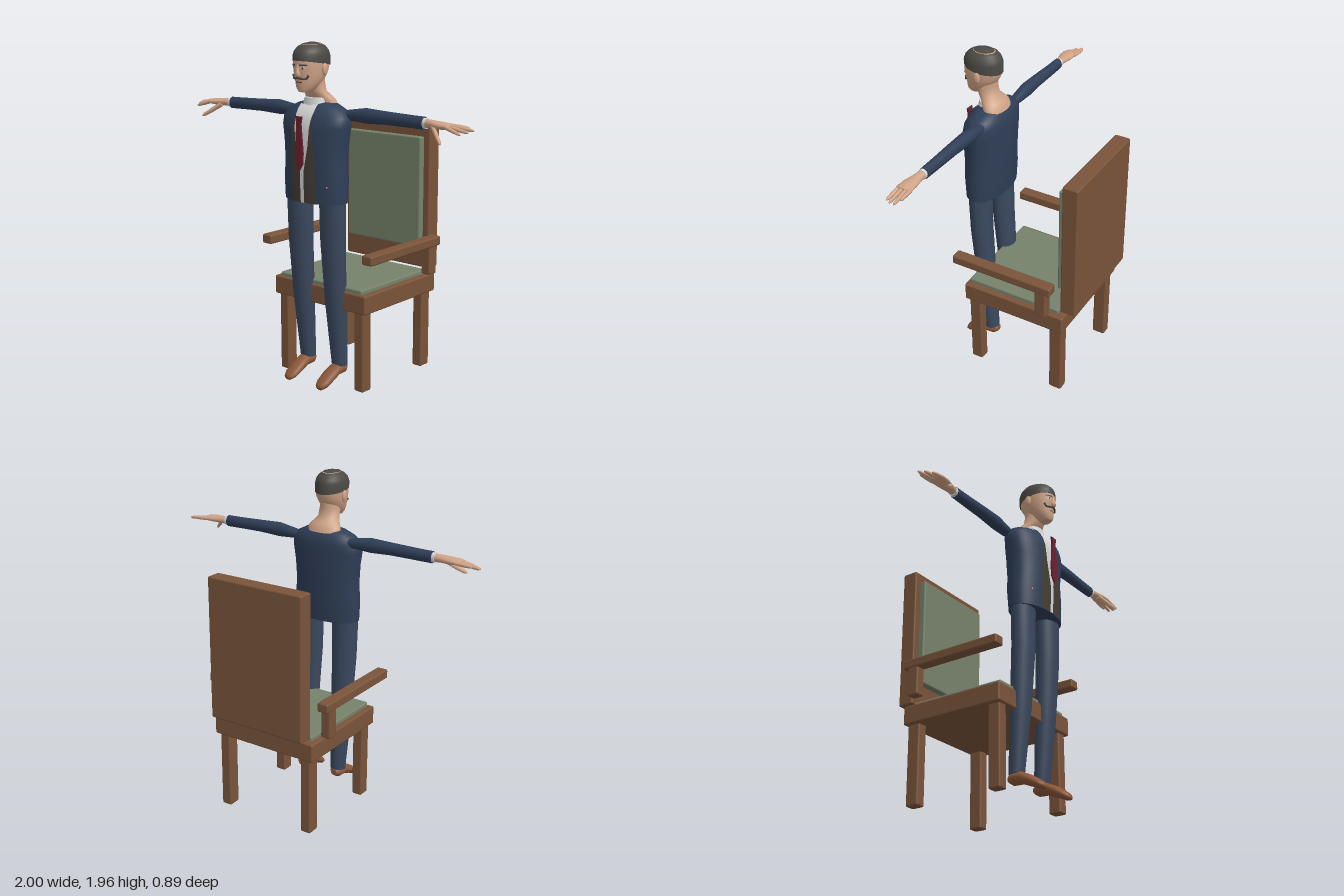
import * as THREE from 'three';
import { RoundedBoxGeometry } from 'three/addons/geometries/RoundedBoxGeometry.js';

const colours = {
  wood: 0x7a543a, upholstery: 0x76826a, jacket: 0x2f3e57, trousers: 0x3a485e, vest: 0x453e38,
  skin: 0xd0a487, shirt: 0xd8d8d6, tie: 0x6e2030, shoe: 0x8a5637, hair: 0x4b4944,
};

// Closed skin over elliptical sections [t, u, v, ru, rv] along an axis:
// y -> centre (u, t, v), x -> centre (t, u, v), z -> centre (u, v, t)
function loft(rows, axis = 'y', seg = 24, power = 2) {
  const pos = [], idx = [];
  const bend = (c) => Math.sign(c) * Math.pow(Math.abs(c), 2 / power);
  const put = (t, u, v, a, b) => {
    if (axis === 'y') pos.push(u + a, t, v + b);
    else if (axis === 'x') pos.push(t, u - a, v + b);
    else pos.push(u + a, v - b, t);
  };
  const ring = ([t, u, v, ru, rv]) => {
    const start = pos.length / 3;
    for (let j = 0; j < seg; j++) {
      const a = (j / seg) * Math.PI * 2;
      put(t, u, v, ru * bend(Math.cos(a)), rv * bend(Math.sin(a)));
    }
    return start;
  };
  const starts = rows.map(ring);
  for (let i = 0; i < rows.length - 1; i++) {
    for (let j = 0; j < seg; j++) {
      const k = (j + 1) % seg;
      const a = starts[i] + j, b = starts[i] + k, c = starts[i + 1] + j, d = starts[i + 1] + k;
      idx.push(a, c, b, b, c, d);
    }
  }
  [rows[0], rows[rows.length - 1]].forEach((r, end) => {
    const s = ring(r), m = pos.length / 3;
    put(r[0], r[1], r[2], 0, 0);
    for (let j = 0; j < seg; j++) {
      const a = s + j, b = s + ((j + 1) % seg);
      if (end) idx.push(m, b, a); else idx.push(m, a, b);
    }
  });
  return build(pos, idx);
}

function build(pos, idx) {
  const g = new THREE.BufferGeometry();
  g.setAttribute('position', new THREE.Float32BufferAttribute(pos, 3));
  g.setIndex(idx);
  g.computeVertexNormals();
  return g;
}

// Front surface depth of a lofted body at (x, y)
function frontZ(body, x, y, power) {
  let i = 0;
  while (i < body.length - 2 && body[i + 1][0] < y) i++;
  const f = THREE.MathUtils.clamp((y - body[i][0]) / (body[i + 1][0] - body[i][0]), 0, 1);
  const at = (k) => THREE.MathUtils.lerp(body[i][k], body[i + 1][k], f);
  const s = Math.min(1, Math.abs(x / at(3)));
  return at(2) + at(4) * Math.pow(1 - Math.pow(s, power), 1 / power);
}

// Thin panel hugging the front of a body; rows [y, xLeft, xRight] from bottom to top
function panel(body, rows, offset, side = 1, power = 2) {
  const pos = [], idx = [], cols = 8, steps = 5;
  const count = (rows.length - 1) * steps;
  for (let r = 0; r <= count; r++) {
    const i = Math.min(Math.floor(r / steps), rows.length - 2), f = r / steps - i;
    const [y, p, q] = rows[i].map((v, k) => THREE.MathUtils.lerp(v, rows[i + 1][k], f));
    const x0 = Math.min(p * side, q * side), x1 = Math.max(p * side, q * side);
    for (let j = 0; j <= cols; j++) {
      const x = x0 + ((x1 - x0) * j) / cols;
      pos.push(x, y, frontZ(body, x, y, power) + offset);
    }
  }
  for (let r = 0; r < count; r++) {
    for (let j = 0; j < cols; j++) {
      const a = r * (cols + 1) + j, b = a + cols + 1;
      idx.push(a, a + 1, b + 1, a, b + 1, b);
    }
  }
  return build(pos, idx);
}

// Mirror a geometry across x = 0, keeping its faces outward
function mirrored(g) {
  const m = g.clone().scale(-1, 1, 1), ix = m.index.array;
  for (let i = 0; i < ix.length; i += 3) [ix[i], ix[i + 1]] = [ix[i + 1], ix[i]];
  m.computeVertexNormals();
  return m;
}

export function createModel() {
  const model = new THREE.Group();
  const chair = new THREE.Group(), man = new THREE.Group();
  chair.name = 'chair';
  man.name = 'man';
  model.add(chair, man);
  const mats = {};
  for (const [name, color] of Object.entries(colours)) {
    mats[name] = new THREE.MeshStandardMaterial({ color });
    mats[name].name = name;
  }
  const add = (parent, name, mat, g) => {
    const m = new THREE.Mesh(g, mats[mat]);
    m.name = name;
    parent.add(m);
  };
  const pair = (name, mat, g) => {
    add(man, 'left' + name, mat, g);
    add(man, 'right' + name, mat, mirrored(g));
  };

  // Chair: rounded boxes given by their extents
  const box = (name, mat, x0, x1, y0, y1, z0, z1, r = 0.01) => add(chair, name, mat,
    new RoundedBoxGeometry(x1 - x0, y1 - y0, z1 - z0, 2, r)
      .translate((x0 + x1) / 2, (y0 + y1) / 2, (z0 + z1) / 2));
  box('seatFrame', 'wood', -0.345, 0.345, 0.465, 0.575, -0.38, 0.275);
  box('seatCushion', 'upholstery', -0.31, 0.31, 0.565, 0.6, -0.335, 0.26);
  box('backPanel', 'wood', -0.315, 0.315, 0.6, 1.45, -0.445, -0.35);
  box('backCushion', 'upholstery', -0.275, 0.275, 0.73, 1.39, -0.355, -0.31);
  for (const s of [-1, 1]) {
    const side = (name, a, b, ...rest) => box(name, 'wood', Math.min(a * s, b * s), Math.max(a * s, b * s), ...rest);
    side('frontLeg', 0.255, 0.32, 0, 0.475, 0.185, 0.26);
    side('backLeg', 0.255, 0.32, 0, 0.475, -0.365, -0.285);
    side('armPost', 0.35, 0.41, 0.6, 0.78, -0.305, -0.235);
    side('armRest', 0.345, 0.415, 0.765, 0.82, -0.335, 0.305);
  }

  // Jacket body and the layers on its front
  const torso = [
    [1.08, 0, 0.285, 0.207, 0.108], [1.2, 0, 0.283, 0.212, 0.115], [1.3, 0, 0.282, 0.203, 0.117],
    [1.42, 0, 0.28, 0.21, 0.12], [1.5, 0, 0.278, 0.224, 0.118], [1.55, 0, 0.272, 0.222, 0.112],
    [1.59, 0, 0.265, 0.19, 0.098], [1.62, 0, 0.262, 0.13, 0.072], [1.635, 0, 0.26, 0.06, 0.05],
  ];
  const P = 2.2;
  const onChest = (rows, offset, side = 1) => panel(torso, rows, offset, side, P);
  add(man, 'jacket', 'jacket', loft(torso, 'y', 40, P));
  add(man, 'vest', 'vest', onChest([[1.08, -0.09, 0.09], [1.4, -0.088, 0.088], [1.54, -0.072, 0.072]], 0.003));
  add(man, 'shirtFront', 'shirt', onChest([[1.08, -0.013, 0.013], [1.25, -0.013, 0.013], [1.4, -0.045, 0.045],
    [1.52, -0.055, 0.055], [1.62, -0.065, 0.065]], 0.006));
  for (const s of [1, -1]) {
    add(man, 'lapel', 'jacket', onChest([[1.24, 0.09, 0.095], [1.37, 0.087, 0.115], [1.41, 0.08, 0.135],
      [1.44, 0.078, 0.152], [1.52, 0.072, 0.13], [1.62, 0.06, 0.09]], 0.009, s));
    add(man, 'jacketButton', 'skin', onChest([[1.175, 0.15, 0.157], [1.184, 0.15, 0.157]], 0.004, s));
  }
  const tieShape = new THREE.Shape([[0, 1.26], [0.027, 1.3], [0.03, 1.36], [0.016, 1.52], [0.024, 1.56],
    [-0.024, 1.56], [-0.016, 1.52], [-0.03, 1.36], [-0.027, 1.3]].map((p) => new THREE.Vector2(...p)));
  add(man, 'tie', 'tie', new THREE.ExtrudeGeometry(tieShape, { depth: 0.009, bevelEnabled: false }).translate(0, 0, 0.417));

  // Neck, spreading over the back of the shoulders, and collar
  add(man, 'neck', 'skin', loft([[1.612, 0, 0.238, 0.108, 0.062], [1.64, 0, 0.245, 0.102, 0.06],
    [1.66, 0, 0.258, 0.085, 0.06], [1.69, 0, 0.285, 0.063, 0.058], [1.74, 0, 0.3, 0.06, 0.063],
    [1.8, 0, 0.3, 0.06, 0.07]]));
  add(man, 'collar', 'shirt', loft([[1.6, 0, 0.287, 0.078, 0.06], [1.655, 0, 0.287, 0.066, 0.052]]));

  // Head
  const head = [
    [1.69, 0, 0.372, 0.03, 0.036], [1.71, 0, 0.355, 0.052, 0.062], [1.74, 0, 0.34, 0.067, 0.078],
    [1.77, 0, 0.328, 0.078, 0.093], [1.8, 0, 0.322, 0.084, 0.105], [1.84, 0, 0.318, 0.088, 0.112],
    [1.88, 0, 0.317, 0.088, 0.112], [1.92, 0, 0.315, 0.076, 0.096], [1.945, 0, 0.312, 0.048, 0.063],
  ];
  add(man, 'head', 'skin', loft(head));
  const hair = loft([[1.845, 0, 0.317, 0.091, 0.115], [1.885, 0, 0.317, 0.091, 0.115], [1.91, 0, 0.316, 0.084, 0.106],
    [1.932, 0, 0.314, 0.068, 0.086], [1.947, 0, 0.312, 0.044, 0.058], [1.955, 0, 0.312, 0.012, 0.016]]);
  const hp = hair.attributes.position;
  for (let i = 0; i < hp.count; i++) {
    if (hp.getY(i) < 1.85) hp.setY(i, 1.843 + (hp.getZ(i) - 0.317) * 0.14);
  }
  hair.computeVertexNormals();
  add(man, 'hair', 'hair', hair);
  add(man, 'nose', 'skin', loft([[1.774, 0, 0.422, 0.012, 0.01], [1.783, 0, 0.427, 0.019, 0.018],
    [1.8, 0, 0.425, 0.013, 0.016], [1.84, 0, 0.424, 0.008, 0.01]], 'y', 12));
  add(man, 'mouth', 'vest', panel(head, [[1.742, -0.022, 0.022], [1.747, -0.022, 0.022]], 0.003));
  for (const s of [1, -1]) {
    add(man, 'eye', 'shirt', panel(head, [[1.814, 0.026, 0.038], [1.82, 0.018, 0.046], [1.826, 0.026, 0.038]], 0.002, s));
    add(man, 'pupil', 'vest', panel(head, [[1.815, 0.028, 0.036], [1.826, 0.028, 0.036]], 0.003, s));
    add(man, 'eyebrow', 'hair', panel(head, [[1.832, 0.014, 0.056], [1.841, 0.016, 0.052]], 0.004, s));
  }
  pair('Ear', 'skin', new THREE.SphereGeometry(1, 12, 10).scale(0.012, 0.034, 0.02).translate(0.09, 1.812, 0.308));
  const whisker = new THREE.CatmullRomCurve3([[-0.003, 1.77, 0.43], [0.025, 1.764, 0.422], [0.044, 1.765, 0.408],
    [0.056, 1.783, 0.401]].map((p) => new THREE.Vector3(...p)));
  pair('Moustache', 'hair', new THREE.TubeGeometry(whisker, 12, 0.006, 6));

  // Sleeves, cuffs and hands
  pair('Sleeve', 'jacket', loft([[0.16, 1.565, 0.235, 0.022, 0.022], [0.21, 1.567, 0.235, 0.03, 0.031],
    [0.32, 1.572, 0.238, 0.042, 0.037], [0.45, 1.572, 0.24, 0.036, 0.034], [0.6, 1.569, 0.24, 0.034, 0.03],
    [0.71, 1.567, 0.241, 0.034, 0.027]], 'x'));
  pair('Cuff', 'shirt', loft([[0.7, 1.567, 0.242, 0.029, 0.025], [0.728, 1.567, 0.242, 0.028, 0.026]], 'x', 16));
  pair('Palm', 'skin', loft([[0.72, 1.567, 0.243, 0.024, 0.024], [0.76, 1.567, 0.245, 0.022, 0.028],
    [0.82, 1.565, 0.248, 0.02, 0.042], [0.87, 1.565, 0.247, 0.016, 0.044], [0.885, 1.565, 0.247, 0.009, 0.04]], 'x', 16));
  const digit = (name, a, b, r) => {
    const row = (f, k) => [0, 1, 2].map((i) => THREE.MathUtils.lerp(a[i], b[i], f)).concat(r * k, r * k);
    pair(name, 'skin', loft([row(0, 1), row(0.5, 1), row(0.9, 0.75), row(1, 0.3)], 'x', 8));
  };
  [[0.212, 0.205, 0.962], [0.235, 0.222, 1], [0.259, 0.258, 0.99], [0.28, 0.292, 0.965]].forEach(([z0, z1, x], i) =>
    digit('Finger' + (i + 1), [0.86, 1.565, z0], [x, 1.56 - i * 0.008, z1], 0.011));
  digit('Thumb', [0.775, 1.557, 0.262], [0.875, 1.485, 0.332], 0.016);

  // Trouser legs and shoes with toes pointing down
  pair('TrouserLeg', 'trousers', loft([[0.12, 0.122, 0.23, 0.048, 0.042], [0.5, 0.122, 0.262, 0.066, 0.056],
    [0.85, 0.122, 0.284, 0.078, 0.062], [1.08, 0.122, 0.287, 0.083, 0.063], [1.15, 0.12, 0.287, 0.08, 0.062]]));
  pair('Shoe', 'shoe', loft([[0.185, 0.122, 0.1, 0.022, 0.018], [0.21, 0.122, 0.1, 0.04, 0.035],
    [0.27, 0.122, 0.097, 0.043, 0.034], [0.33, 0.122, 0.07, 0.046, 0.032], [0.38, 0.122, 0.043, 0.042, 0.027],
    [0.405, 0.122, 0.031, 0.028, 0.019], [0.412, 0.122, 0.029, 0.01, 0.007]], 'z', 20));
  return model;
}
